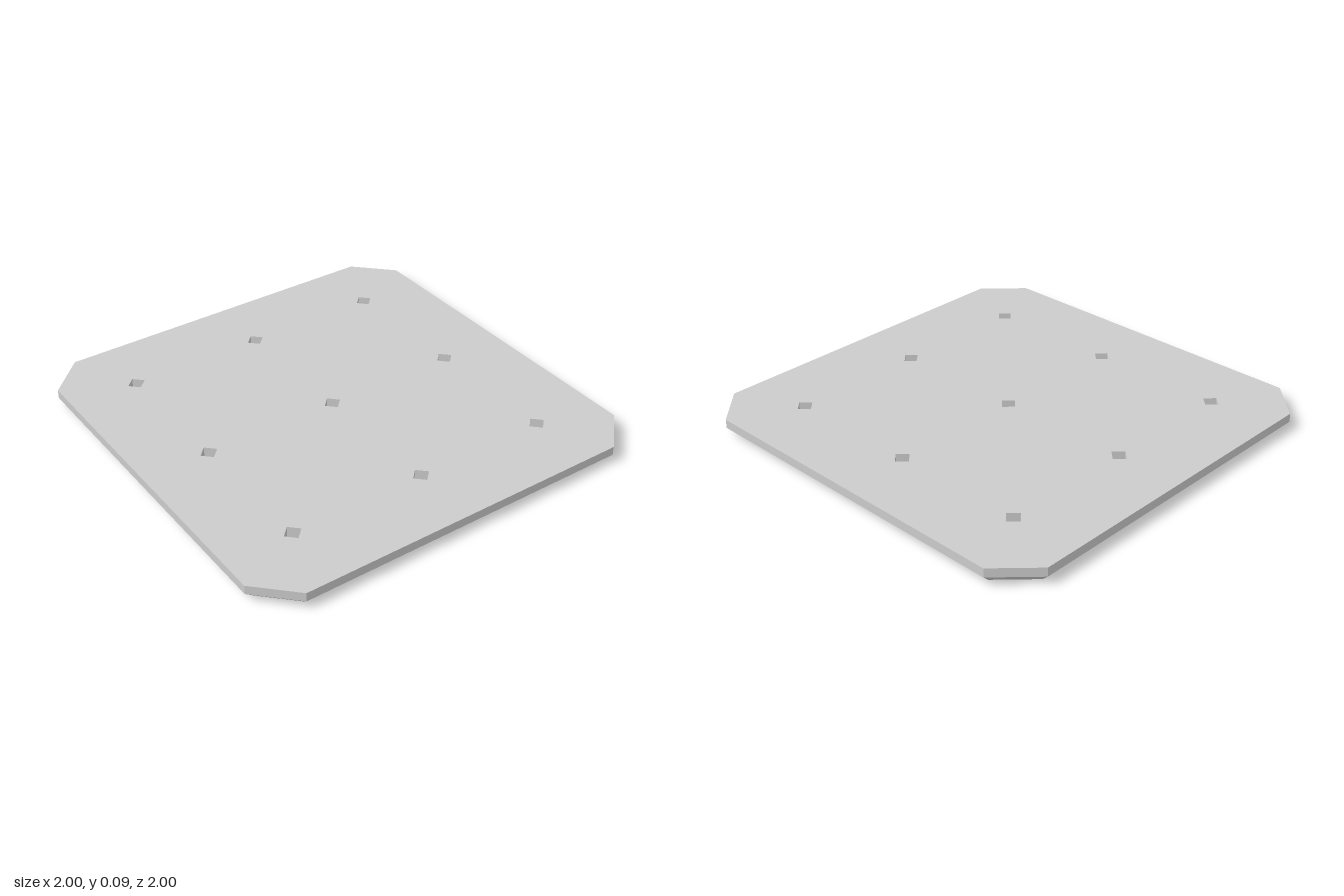
import * as THREE from 'three';

const HEIGHT = 0.086, BEVEL = 0.043;
const EDGE = 1, CUT = 0.825;          // half width, and where the corner cut starts
const HOLE = 0.043, PITCH = 0.667;    // hole half diagonal and spacing

// Square outline with clipped corners
function plateOutline() {
  return new THREE.Shape([
    [EDGE, -CUT], [EDGE, CUT], [CUT, EDGE], [-CUT, EDGE],
    [-EDGE, CUT], [-EDGE, -CUT], [-CUT, -EDGE], [CUT, -EDGE],
  ].map(([x, y]) => new THREE.Vector2(x, y)));
}

function diamondHole(x, y) {
  return new THREE.Path([
    [x + HOLE, y], [x, y - HOLE], [x - HOLE, y], [x, y + HOLE],
  ].map(([px, py]) => new THREE.Vector2(px, py)));
}

export function createModel() {
  const group = new THREE.Group();
  group.name = 'perforatedPlate';

  // Plate with a 3 x 3 grid of diamond through-holes
  const shape = plateOutline();
  for (const i of [-1, 0, 1])
    for (const j of [-1, 0, 1]) shape.holes.push(diamondHole(i * PITCH, j * PITCH));
  const geometry = new THREE.ExtrudeGeometry(shape, { depth: HEIGHT, steps: 2, bevelEnabled: false });
  geometry.rotateX(-Math.PI / 2);

  // Bevel the lower rim: pull its outer corners in by an even offset
  const inset = (v) => {
    const a = Math.abs(v);
    return Math.sign(v) * (a - (a > 0.9 ? BEVEL : BEVEL * Math.tan(Math.PI / 8)));
  };
  const pos = geometry.attributes.position;
  for (let i = 0; i < pos.count; i++) {
    const x = pos.getX(i), z = pos.getZ(i);
    if (pos.getY(i) < 0.01 && Math.max(Math.abs(x), Math.abs(z)) > 0.9) {
      pos.setX(i, inset(x));
      pos.setZ(i, inset(z));
    }
  }
  geometry.computeVertexNormals();

  const plate = new THREE.Mesh(
    geometry,
    new THREE.MeshStandardMaterial({ color: 0xcccccc, flatShading: true }),
  );
  plate.name = 'plate';
  group.add(plate);
  return group;
}
